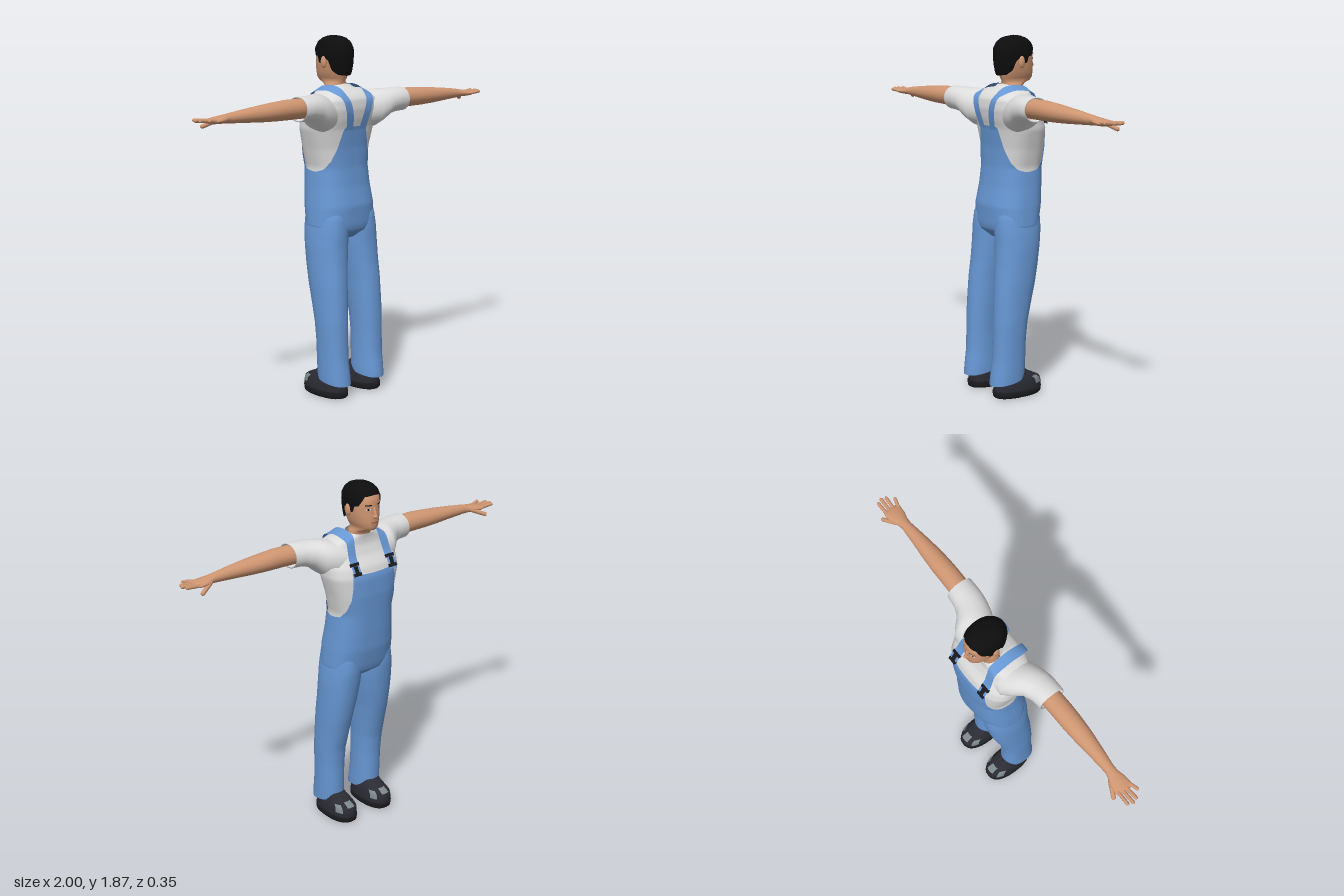
import * as THREE from 'three';

const mat = (name, color, side = THREE.FrontSide) => {
  const m = new THREE.MeshStandardMaterial({ color, side });
  m.name = name;
  return m;
};
const rad = THREE.MathUtils.degToRad;

// Linear lookup in a table of rows keyed by their first entry
function lookup(table, k) {
  let i = 0;
  while (i < table.length - 2 && k > table[i + 1][0]) i++;
  const a = table[i], b = table[i + 1];
  const t = THREE.MathUtils.clamp((k - a[0]) / (b[0] - a[0]), 0, 1);
  return a.map((v, n) => v + (b[n] - v) * t);
}

// Point on a body whose rings are [height, halfWidth, zFront, zBack, xCentre]; angle 0 is the front (-z)
function ringPoint([y, hw, zf, zb, xc], angle, e, off) {
  const bend = (v) => Math.sign(v) * Math.abs(v) ** e;
  const a = rad(angle);
  return [xc + (hw + off) * bend(Math.sin(a)), y, (zf + zb) / 2 - ((zb - zf) / 2 + off) * bend(Math.cos(a))];
}

// Grid surface over angle columns and height rows, joined up when it goes all round
function grid(cols, rows, closed, point) {
  const pos = [], idx = [], w = closed ? cols : cols + 1;
  for (let j = 0; j <= rows; j++) for (let i = 0; i < w; i++) pos.push(...point(i / cols, j / rows, j));
  for (let j = 0; j < rows; j++) for (let i = 0; i < cols; i++) {
    const n = (i + 1) % w, a = j * w + i, b = j * w + n;
    idx.push(a, a + w, b, b, a + w, b + w);
  }
  const g = new THREE.BufferGeometry();
  g.setAttribute('position', new THREE.Float32BufferAttribute(pos, 3));
  g.setIndex(idx);
  g.computeVertexNormals();
  return g;
}
const full = (rings) => rings.map((r) => [r[0], r[1], r[2], r[3], r[4] || 0]);
const loft = (rings, e = 1, cols = 32) =>
  grid(cols, rings.length - 1, true, (u, v, j) => ringPoint(full(rings)[j], u * 360, e, 0));
// Part of a ring body between two angles and two heights (numbers or functions of the angle)
function patch(rings, e, off, a0, a1, lo, hi, cols = 72, rows = 36) {
  const table = full(rings), val = (f, a) => (typeof f === 'function' ? f(a) : f);
  return grid(cols, rows, a1 - a0 === 360, (u, v) => {
    const a = a0 + (a1 - a0) * u, l = val(lo, a);
    return ringPoint(lookup(table, l + (val(hi, a) - l) * v), a, e, off);
  });
}
const fromFront = (a) => Math.abs(((a + 540) % 360) - 180);

function mirrored(geo) {
  const g = geo.clone().scale(-1, 1, 1), ix = g.index.array;
  for (let i = 0; i < ix.length; i += 3) [ix[i], ix[i + 1]] = [ix[i + 1], ix[i]];
  g.computeVertexNormals();
  return g;
}
// Rounded rod between two points
function rod(a, b, r) {
  const p = new THREE.Vector3(...a), q = new THREE.Vector3(...b), d = q.clone().sub(p);
  const turn = new THREE.Quaternion().setFromUnitVectors(new THREE.Vector3(0, 1, 0), d.clone().normalize());
  return new THREE.CapsuleGeometry(r, d.length(), 5, 10).applyQuaternion(turn).translate(...p.add(q).multiplyScalar(0.5).toArray());
}
const ball = (x, y, z, sx, sy, sz) => new THREE.SphereGeometry(1, 18, 14).scale(sx, sy, sz).translate(x, y, z);

const TORSO = [
  [0.83, 0.09, -0.06, 0.07], [0.87, 0.17, -0.115, 0.115], [0.9, 0.186, -0.125, 0.122], [1.0, 0.18, -0.145, 0.125],
  [1.1, 0.17, -0.152, 0.105], [1.2, 0.162, -0.157, 0.095], [1.3, 0.185, -0.163, 0.095], [1.4, 0.213, -0.16, 0.105],
  [1.45, 0.215, -0.145, 0.12], [1.5, 0.21, -0.11, 0.128], [1.55, 0.19, -0.09, 0.123],
  [1.585, 0.14, -0.088, 0.09], [1.6, 0.085, -0.092, 0.045], [1.62, 0.064, -0.088, 0.025]];
const LEG = [
  [0.07, 0.068, -0.01, 0.177, 0.122], [0.1, 0.07, -0.016, 0.175, 0.122], [0.2, 0.069, -0.019, 0.161, 0.124],
  [0.3, 0.07, -0.021, 0.157, 0.125], [0.4, 0.074, -0.031, 0.155, 0.125], [0.5, 0.078, -0.055, 0.15, 0.122],
  [0.6, 0.083, -0.08, 0.143, 0.119], [0.7, 0.09, -0.1, 0.132, 0.112], [0.8, 0.096, -0.116, 0.126, 0.105],
  [0.88, 0.094, -0.126, 0.126, 0.1], [0.95, 0.085, -0.125, 0.12, 0.098], [1.02, 0.06, -0.1, 0.09, 0.095]];
const HEAD = [
  [1.54, 0.066, -0.075, 0.02], [1.6, 0.058, -0.08, 0.02], [1.622, 0.056, -0.1, 0.02], [1.633, 0.044, -0.138, 0.022],
  [1.65, 0.055, -0.15, 0.03], [1.68, 0.066, -0.151, 0.04], [1.72, 0.073, -0.151, 0.05], [1.745, 0.075, -0.146, 0.054],
  [1.77, 0.076, -0.15, 0.056], [1.8, 0.075, -0.146, 0.055], [1.83, 0.064, -0.125, 0.038],
  [1.848, 0.04, -0.095, 0.01], [1.855, 0, -0.045, -0.045]];
const HAIR = [
  [1.65, 0.062, -0.15, 0.047], [1.68, 0.073, -0.152, 0.057], [1.72, 0.079, -0.154, 0.064], [1.77, 0.082, -0.154, 0.067],
  [1.8, 0.081, -0.151, 0.065], [1.83, 0.072, -0.134, 0.048], [1.85, 0.053, -0.11, 0.025],
  [1.861, 0.028, -0.078, -0.01], [1.865, 0, -0.045, -0.045]];
const SHOE = [
  [0.03, 0.071, -0.122, 0.15, 0.119], [0.06, 0.071, -0.125, 0.15, 0.119], [0.085, 0.068, -0.118, 0.148, 0.119],
  [0.1, 0.062, -0.095, 0.145, 0.119], [0.115, 0.056, -0.055, 0.13, 0.12], [0.14, 0.048, -0.022, 0.11, 0.121],
  [0.14, 0, 0.05, 0.05, 0.121]];
const SOLE = [[0, 0, 0.015, 0.015, 0.119], [0, 0.066, -0.112, 0.148, 0.119], [0.008, 0.073, -0.122, 0.155, 0.119],
  [0.036, 0.074, -0.127, 0.156, 0.119], [0.036, 0, 0.015, 0.015, 0.119]];
// Arm rings run along x, so their fifth entry is minus the height
const SLEEVE = [[0.1, 0.09, -0.1, 0.1, -1.47], [0.18, 0.098, -0.095, 0.133, -1.484], [0.22, 0.085, -0.06, 0.142, -1.497],
  [0.26, 0.068, -0.02, 0.146, -1.515], [0.31, 0.063, -0.002, 0.148, -1.521], [0.365, 0.062, 0.004, 0.147, -1.522],
  [0.363, 0.056, 0.01, 0.141, -1.522], [0.33, 0.05, 0.02, 0.13, -1.522]];
const ARM = [[0.31, 0.05, 0.022, 0.128, -1.525], [0.45, 0.05, 0.025, 0.13, -1.526], [0.52, 0.047, 0.026, 0.129, -1.524],
  [0.6, 0.042, 0.031, 0.124, -1.522], [0.7, 0.034, 0.04, 0.113, -1.52], [0.8, 0.025, 0.047, 0.1, -1.517],
  [0.83, 0.021, 0.04, 0.102, -1.516], [0.865, 0.018, 0.025, 0.112, -1.513], [0.905, 0.014, 0.022, 0.115, -1.511],
  [0.925, 0.01, 0.026, 0.11, -1.511], [0.928, 0, 0.07, 0.07, -1.511]];
// Overalls upper edge and hairline by angle away from the front
const BIB_EDGE = [[0, 1.42], [30, 1.425], [34, 1.36], [42, 1.29], [56, 1.23], [75, 1.19], [95, 1.18],
  [115, 1.195], [135, 1.235], [152, 1.3], [160, 1.36], [166, 1.41], [180, 1.41]];
const HAIRLINE = [[0, 1.815], [35, 1.81], [46, 1.785], [58, 1.76], [70, 1.76], [76, 1.725], [90, 1.725],
  [97, 1.75], [106, 1.74], [118, 1.69], [140, 1.668], [180, 1.662]];
const STRAP = [[0.045, 1.395, 0.116], [0.055, 1.45, 0.13], [0.067, 1.5, 0.138], [0.082, 1.55, 0.131], [0.092, 1.585, 0.09],
  [0.095, 1.603, 0.04], [0.097, 1.604, -0.01], [0.1, 1.588, -0.077], [0.105, 1.55, -0.096], [0.11, 1.5, -0.115],
  [0.113, 1.45, -0.15], [0.115, 1.415, -0.164]];

export function createModel() {
  const model = new THREE.Group();
  model.name = 'workman';
  const D = THREE.DoubleSide;
  const skin = mat('skin', 0xcf9672), hair = mat('hair black', 0x0d0d0d, D), shirt = mat('shirt white', 0xdcdcdc, D);
  const denim = mat('overalls blue', 0x6797d4, D), shoe = mat('shoe charcoal', 0x2b2b34), sole = mat('sole black', 0x1a1a1d);
  const grey = mat('shoe trim grey', 0x7d8789, D), lip = mat('lip', 0xa8654f, D);

  const add = (name, geo, material) => {
    const m = new THREE.Mesh(geo, material);
    m.name = name;
    model.add(m);
  };
  const pair = (name, geo, material) => {
    add('left ' + name, geo, material);
    add('right ' + name, mirrored(geo), material);
  };

  // Shirt body and overalls share one torso form
  add('shirt body', patch(TORSO, 0.78, 0, 0, 360, 1.14, (a) => 1.603 + 0.017 * fromFront(a) / 180), shirt);
  add('overalls bib and hips', patch(TORSO, 0.78, 0.006, 0, 360, 0.83, (a) => lookup(BIB_EDGE, fromFront(a))[1], 120, 44), denim);

  // Trouser legs, cut higher over the instep
  pair('trouser leg', patch(LEG, 0.9, 0, 0, 360, (a) => 0.07 + 0.055 * (1 - fromFront(a) / 180) ** 2, 1.02, 36, 40), denim);

  // Shoulder straps with buckles
  const curve = new THREE.CatmullRomCurve3(STRAP.map((p) => new THREE.Vector3(...p)));
  pair('strap', grid(2, 48, false, (u, v) => {
    const p = curve.getPoint(v), k = u * 2 - 1;
    const tilt = 0.012 * THREE.MathUtils.smoothstep(p.y, 1.56, 1.6);
    return [p.x + k * 0.024, p.y - k * tilt, p.z];
  }), denim);
  for (const [y, w, h] of [[1.475, 0.05, 0.016], [1.452, 0.022, 0.035], [1.43, 0.045, 0.016]])
    pair('buckle', new THREE.BoxGeometry(w, h, 0.012).rotateX(0.5).translate(0.113, y, -0.152 + (y - 1.44) * 0.6), sole);

  // Sleeves, arms and hands
  pair('sleeve', loft(SLEEVE, 0.95).rotateZ(-Math.PI / 2), shirt);
  pair('arm', loft(ARM).rotateZ(-Math.PI / 2), skin);
  const fingers = [[0.036, 0.034, 0.98], [0.058, 0.059, 0.991], [0.08, 0.083, 0.982], [0.102, 0.116, 0.952]];
  for (const [z0, z1, x] of fingers) pair('finger', rod([0.9, 1.512, z0], [x, 1.519, z1], 0.009), skin);
  pair('thumb', rod([0.845, 1.51, 0.042], [0.912, 1.482, 0.01], 0.011), skin);

  // Head and face
  add('head and neck', loft(HEAD, 0.9, 40), skin);
  add('hair', patch(HAIR, 0.9, 0, 0, 360, (a) => lookup(HAIRLINE, fromFront(a))[1], 1.865, 96, 24), hair);
  add('nose', ball(0, 1.708, -0.151, 0.012, 0.013, 0.018), skin);
  add('nose bridge', rod([0, 1.748, -0.146], [0, 1.714, -0.158], 0.008), skin);
  pair('ear', ball(0.08, 1.732, -0.04, 0.011, 0.031, 0.018), skin);
  pair('eye', patch(HEAD, 0.9, 0.002, 14, 32, 1.741, 1.749, 6, 2), shirt);
  pair('pupil', patch(HEAD, 0.9, 0.003, 20, 26, 1.741, 1.75, 4, 2), hair);
  pair('eyebrow', patch(HEAD, 0.9, 0.002, 11, 36, 1.764, 1.77, 8, 2), hair);
  add('mouth', patch(HEAD, 0.9, 0.002, -16, 16, 1.672, 1.68, 10, 2), lip);

  // Shoes
  pair('shoe upper', loft(SHOE, 0.85), shoe);
  pair('shoe sole', loft(SOLE, 0.85), sole);
  for (const [a0, a1] of [[38, 62], [-62, -38]]) pair('shoe trim', patch(SHOE, 0.85, 0.002, a0, a1, 0.06, 0.1, 8, 6), grey);
  pair('shoe toe trim', patch(SHOE, 0.85, 0.002, -16, 16, 0.088, 0.108, 8, 4), grey);
  return model;
}
